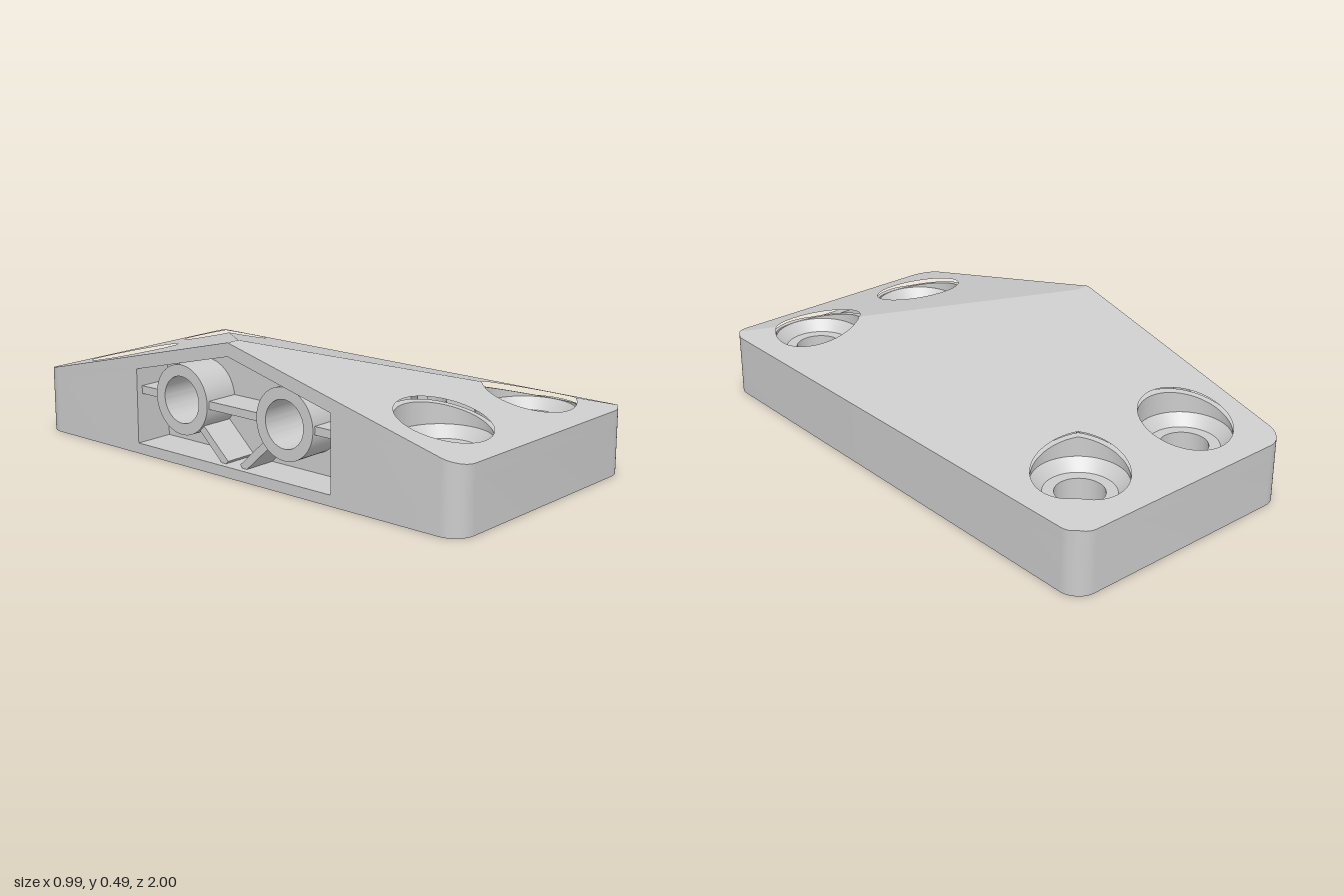
import * as THREE from 'three';
import { toCreasedNormals } from 'three/addons/utils/BufferGeometryUtils.js';

const W = 0.495, D = 1, R = 0.08, WALL = 0.06, SKIN = 0.05;
const PEAK_X = -0.44, SPAN = 0.935;
const HOLE = 0.087, TUBE = 0.13, BORE = 0.167;
const V = (x, y) => new THREE.Vector2(x, y);

// height of the sloped top: two end slopes and one side slope
const roof = (x, z) => 0.49 - 0.25 * Math.max(Math.abs(z), (x - PEAK_X) / SPAN, 0);
const ceiling = (x, z) => roof(x, z) - SKIN;
const flat = (y) => () => y;

// ridge lines along which every slab is divided
const ridges = [
  (p) => p[2],
  (p) => p[2] - (p[0] - PEAK_X) / SPAN,
  (p) => -p[2] - (p[0] - PEAK_X) / SPAN,
];

function splitTriangles(tris, f) {
  const out = [];
  for (const t of tris) {
    const d = t.map(f);
    if (d.every((v) => v > -1e-6) || d.every((v) => v < 1e-6)) { out.push(t); continue; }
    for (const s of [1, -1]) {
      const poly = [];
      for (let i = 0; i < 3; i++) {
        const j = (i + 1) % 3;
        if (d[i] * s >= 0) poly.push(t[i]);
        if (d[i] * d[j] < 0) {
          const k = d[i] / (d[i] - d[j]);
          poly.push(t[i].map((v, c) => v + (t[j][c] - v) * k));
        }
      }
      for (let i = 1; i + 1 < poly.length; i++) out.push([poly[0], poly[i], poly[i + 1]]);
    }
  }
  return out;
}

// plan shape (x, z) raised between two height functions
function slab(shape, lo, hi) {
  const g = new THREE.ExtrudeGeometry(shape, { depth: 1, bevelEnabled: false, curveSegments: 64 });
  g.rotateX(Math.PI / 2).translate(0, 1, 0);
  const src = g.index ? g.toNonIndexed() : g;
  const a = src.attributes.position;
  let tris = [];
  for (let i = 0; i < a.count; i += 3) {
    tris.push([0, 1, 2].map((k) => [a.getX(i + k), a.getY(i + k), a.getZ(i + k)]));
  }
  for (const f of ridges) tris = splitTriangles(tris, f);
  const pos = tris.flat().flatMap(([x, t, z]) => [x, lo(x, z) + (hi(x, z) - lo(x, z)) * t, z]);
  const out = new THREE.BufferGeometry();
  out.setAttribute('position', new THREE.Float32BufferAttribute(pos, 3));
  return out;
}

// rounded rectangle points, from the -x side round to the -x side
function roundedPoints(w, d, r) {
  const pts = [];
  [[-1, 1], [1, 1], [1, -1], [-1, -1]].forEach(([sx, sz], c) => {
    for (let i = 0; i <= 12; i++) {
      const a = Math.PI - (c + i / 12) * Math.PI / 2;
      pts.push(V(sx * (w - r) + r * Math.cos(a), sz * (d - r) + r * Math.sin(a)));
    }
  });
  return pts;
}

const rect = (x1, z1, x2, z2) => new THREE.Shape([V(x1, z1), V(x2, z1), V(x2, z2), V(x1, z2)]);

// upright rib of given thickness between two plan points
function ribShape(x1, z1, x2, z2, t = 0.035) {
  const l = Math.hypot(x2 - x1, z2 - z1), nx = -(z2 - z1) / l * t / 2, nz = (x2 - x1) / l * t / 2;
  return new THREE.Shape([V(x1 + nx, z1 + nz), V(x2 + nx, z2 + nz), V(x2 - nx, z2 - nz), V(x1 - nx, z1 - nz)]);
}

function circleHole(shape, x, y, r) {
  shape.holes.push(new THREE.Path().absarc(x, y, r, 0, Math.PI * 2, true));
}

const lathe = (pts) => new THREE.LatheGeometry(pts.map(([r, y]) => V(r, y)), 64);
const pipe = (y0, y1) => lathe([[TUBE, y0], [TUBE, y1], [HOLE, y1], [HOLE, y0], [TUBE, y0]]);

export function createModel() {
  const group = new THREE.Group();
  const mat = new THREE.MeshStandardMaterial({ color: 0xcccccc });
  const add = (name, geo) => {
    const mesh = new THREE.Mesh(toCreasedNormals(geo, 0.3), mat);
    mesh.name = name;
    group.add(mesh);
    return mesh;
  };

  // sloped top skin with four counterbore openings
  const plan = new THREE.Shape(roundedPoints(W, D, R));
  for (const x of [-0.25, 0.25]) for (const z of [-0.75, 0.75]) circleHole(plan, x, z, BORE);
  add('slopedTop', slab(plan, ceiling, roof));

  // outer wall, open in the middle of the tall side
  const P = 0.47, B = -0.29, wi = W - WALL;
  const outer = roundedPoints(W, D, R), inner = roundedPoints(wi, D - WALL, 0.03).reverse();
  add('outerWall', slab(new THREE.Shape([V(-W, P), ...outer, V(-W, -P), V(-wi, -P), ...inner, V(-wi, P)]), flat(0), ceiling));

  // side pocket: floor, two ends and a drilled back wall
  add('pocketFloor', slab(rect(-W, -P, B, P), flat(0), flat(0.04)));
  for (const s of [1, -1]) {
    add('pocketEnd', slab(rect(-wi - 0.005, s > 0 ? P : -P - 0.05, B, s > 0 ? P + 0.05 : -P), flat(0), ceiling));
  }
  const topY = (z) => roof(B, z) - 0.03;
  const back = new THREE.Shape([V(-P, 0), V(P, 0), V(P, topY(P)), V(0.16, topY(0.16)), V(-0.16, topY(0.16)), V(-P, topY(P))]);
  for (const z of [-0.25, 0.25]) circleHole(back, z, 0.24, HOLE);
  const backGeo = new THREE.ExtrudeGeometry(back, { depth: 0.05, bevelEnabled: false, curveSegments: 64 });
  add('pocketBackWall', backGeo.rotateY(-Math.PI / 2).translate(B, 0, 0));

  // horizontal sleeves and their ribs in the pocket
  const pocketRib = (z1, y1, z2, y2) => {
    const g = new THREE.BoxGeometry(0.15, 0.03, Math.hypot(z2 - z1, y2 - y1));
    g.rotateX(-Math.atan2(y2 - y1, z2 - z1));
    add('pocketRib', g.translate(-0.395, (y1 + y2) / 2, (z1 + z2) / 2));
  };
  for (const s of [1, -1]) {
    const sleeve = pipe(0, 0.17).rotateZ(Math.PI / 2);
    add('sideSleeve', sleeve.translate(-0.31, 0.24, s * 0.25));
    pocketRib(s * 0.37, 0.24, s * 0.475, 0.24);
    pocketRib(s * 0.16, 0.15, s * 0.04, 0.04);
  }
  pocketRib(-0.13, 0.24, 0.13, 0.24);

  // screw sockets with a tapered seat, each held by a cross of ribs
  for (const sx of [1, -1]) for (const sz of [1, -1]) {
    const x = sx * 0.25, z = sz * 0.75;
    const socket = lathe([[TUBE, 0.04], [TUBE, 0.14], [0.19, 0.2], [0.19, 0.24], [BORE, 0.24],
      [0.127, 0.2], [HOLE, 0.2], [HOLE, 0.04], [TUBE, 0.04]]);
    add('screwSocket', socket.translate(x, 0, z));
    // upper sleeve reaching into the sloped skin
    const sleeve = new THREE.Shape().absarc(x, z, 0.19, 0, Math.PI * 2, false);
    circleHole(sleeve, x, z, BORE);
    add('socketSleeve', slab(sleeve, flat(0.235), (px, pz) => Math.max(0.236, roof(px, pz) - 0.02)));
    const arms = [[x + sx * 0.12, z, sx * 0.44, z], [x - sx * 0.12, z, 0, z],
      [x, z + sz * 0.12, x, sz * 0.945], [x, z - sz * 0.12, x, sz * 0.55]];
    for (const a of arms) add('socketRib', slab(ribShape(...a), flat(0.04), flat(0.16)));
  }

  // blind posts and crossed stiffeners under the low side
  const px = 0.22;
  for (const s of [1, -1]) {
    const post = new THREE.Shape().absarc(px, s * 0.25, TUBE, 0, Math.PI * 2, false);
    circleHole(post, px, s * 0.25, HOLE);
    add('blindPost', slab(post, flat(0.11), (x, z) => roof(x, z) - 0.03));
    const stiff = [[px + 0.09, s * 0.34, 0.44, s * 0.47], [px - 0.09, s * 0.34, px - 0.22, s * 0.47],
      [px + 0.09, s * 0.16, px - 0.09, -s * 0.02], [px - 0.09, s * 0.16, px + 0.09, -s * 0.02]];
    for (const a of stiff) add('stiffener', slab(ribShape(...a), flat(0.13), (x, z) => roof(x, z) - 0.03));
  }
  return group;
}
